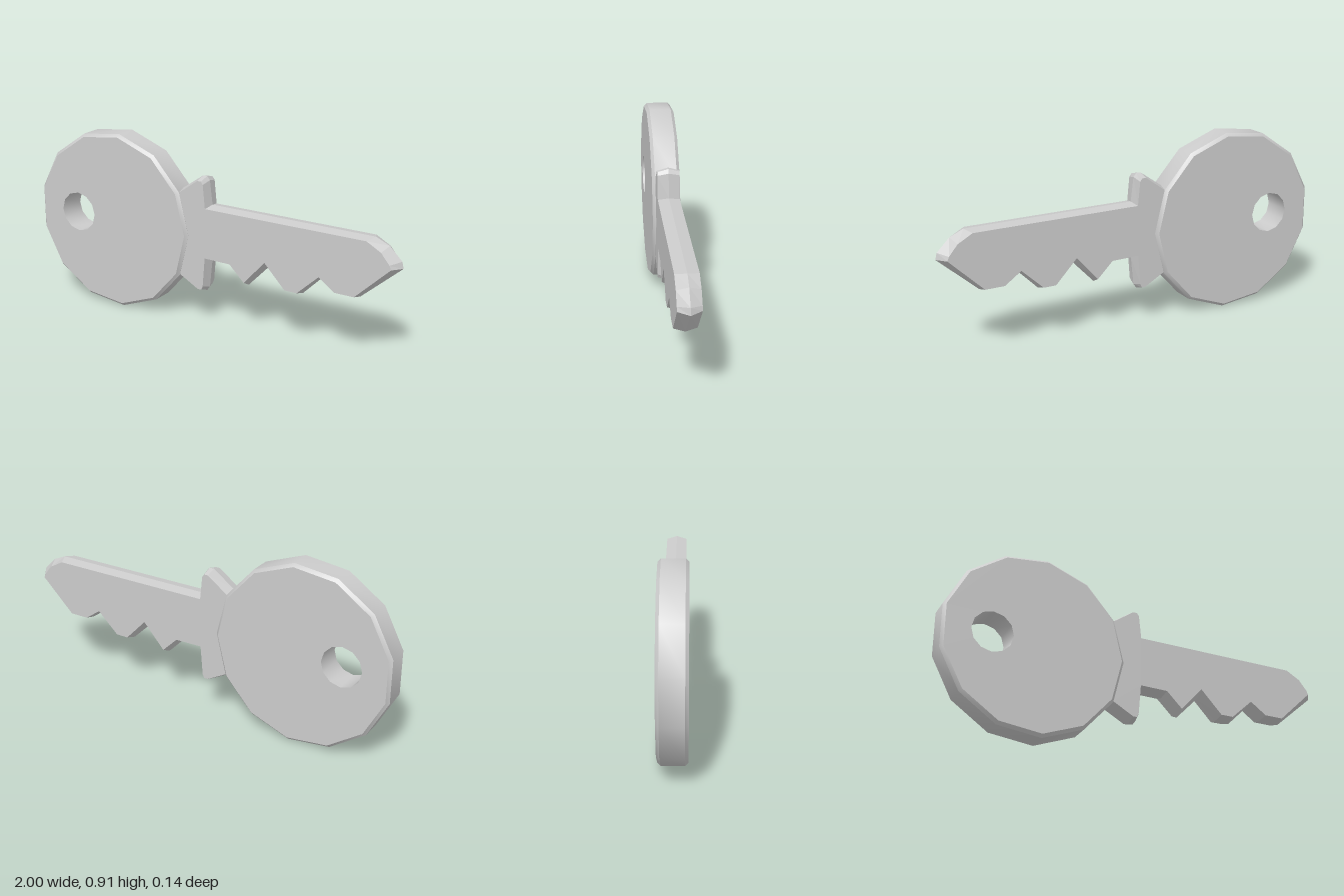
import * as THREE from 'three';
import { toCreasedNormals } from 'three/addons/utils/BufferGeometryUtils.js';

const V = (x, y) => new THREE.Vector2(x, y);

function polygon(cx, cy, r, sides) {
  return Array.from({ length: sides }, (_, i) => {
    const a = (i / sides) * Math.PI * 2;
    return V(cx + r * Math.cos(a), cy + r * Math.sin(a));
  });
}

// Skins counter-clockwise outlines stacked from back to front, caps both ends
// and optionally cuts a straight hole through them.
function stackedSolid(layers, hole = []) {
  const pos = [];
  const tri = (...corners) => corners.forEach(([p, z]) => pos.push(p.x, p.y, z));
  const wall = (a, za, b, zb) => a.forEach((p, i) => {
    const j = (i + 1) % a.length;
    tri([p, za], [a[j], za], [b[j], zb]);
    tri([p, za], [b[j], zb], [b[i], zb]);
  });
  for (let k = 0; k + 1 < layers.length; k++) {
    wall(layers[k].pts, layers[k].z, layers[k + 1].pts, layers[k + 1].z);
  }
  const back = layers[0], front = layers[layers.length - 1];
  if (hole.length) wall([...hole].reverse(), back.z, [...hole].reverse(), front.z);
  const holes = hole.length ? [hole] : [];
  for (const { pts, z } of [back, front]) {
    const all = [...pts, ...hole];
    for (const [a, b, c] of THREE.ShapeUtils.triangulateShape(pts, holes)) {
      if (z > 0) tri([all[a], z], [all[b], z], [all[c], z]);
      else tri([all[c], z], [all[b], z], [all[a], z]);
    }
  }
  const g = new THREE.BufferGeometry();
  g.setAttribute('position', new THREE.Float32BufferAttribute(pos, 3));
  g.computeVertexNormals();
  return g;
}

export function createModel() {
  const key = new THREE.Group();
  key.name = 'key';
  const add = (name, geometry) => {
    const mesh = new THREE.Mesh(geometry, new THREE.MeshStandardMaterial({ color: 0xcccccc }));
    mesh.name = name;
    key.add(mesh);
  };

  // Round bow: thirteen-sided disc with chamfered rims and a ring hole
  const outer = polygon(-0.555, 0.457, 0.458, 13);
  const inner = polygon(-0.555, 0.457, 0.443, 13);
  add('bow', toCreasedNormals(stackedSolid([
    { pts: inner, z: -0.069 },
    { pts: outer, z: -0.054 },
    { pts: outer, z: 0.054 },
    { pts: inner, z: 0.069 },
  ], polygon(-0.762, 0.47, 0.102, 12)), 0.6));

  // Blade and collar: each row is ridge x, y then face x, y
  const profile = [
    [-0.3, 0.32, -0.3, 0.32],
    // lower collar wing
    [-0.16, 0.235, -0.15, 0.25],
    [-0.045, 0.174, -0.045, 0.192],
    [-0.022, 0.174, -0.025, 0.192],
    [-0.007, 0.195, -0.016, 0.21],
    [0.008, 0.34, -0.004, 0.36],
    // teeth
    [0.13, 0.338, 0.137, 0.358],
    [0.215, 0.253, 0.217, 0.28],
    [0.328, 0.372, 0.328, 0.405],
    [0.43, 0.274, 0.438, 0.29],
    [0.508, 0.274, 0.502, 0.29],
    [0.612, 0.378, 0.612, 0.393],
    [0.69, 0.322, 0.695, 0.335],
    [0.8, 0.322, 0.792, 0.335],
    // tip
    [1, 0.498, 0.963, 0.5],
    [0.992, 0.53, 0.955, 0.52],
    [0.93, 0.592, 0.912, 0.572],
    [0.862, 0.622, 0.84, 0.612],
    // upper collar wing
    [0.008, 0.622, -0.002, 0.612],
    [-0.007, 0.742, -0.014, 0.73],
    [-0.022, 0.76, -0.025, 0.745],
    [-0.045, 0.76, -0.045, 0.745],
    [-0.16, 0.68, -0.15, 0.67],
    [-0.3, 0.6, -0.3, 0.6],
  ];
  const ridge = profile.map(([x, y]) => V(x, y));
  const face = profile.map(([, , x, y]) => V(x, y));
  add('blade', stackedSolid([
    { pts: face, z: -0.053 },
    { pts: ridge, z: 0 },
    { pts: face, z: 0.053 },
  ]));

  return key;
}
